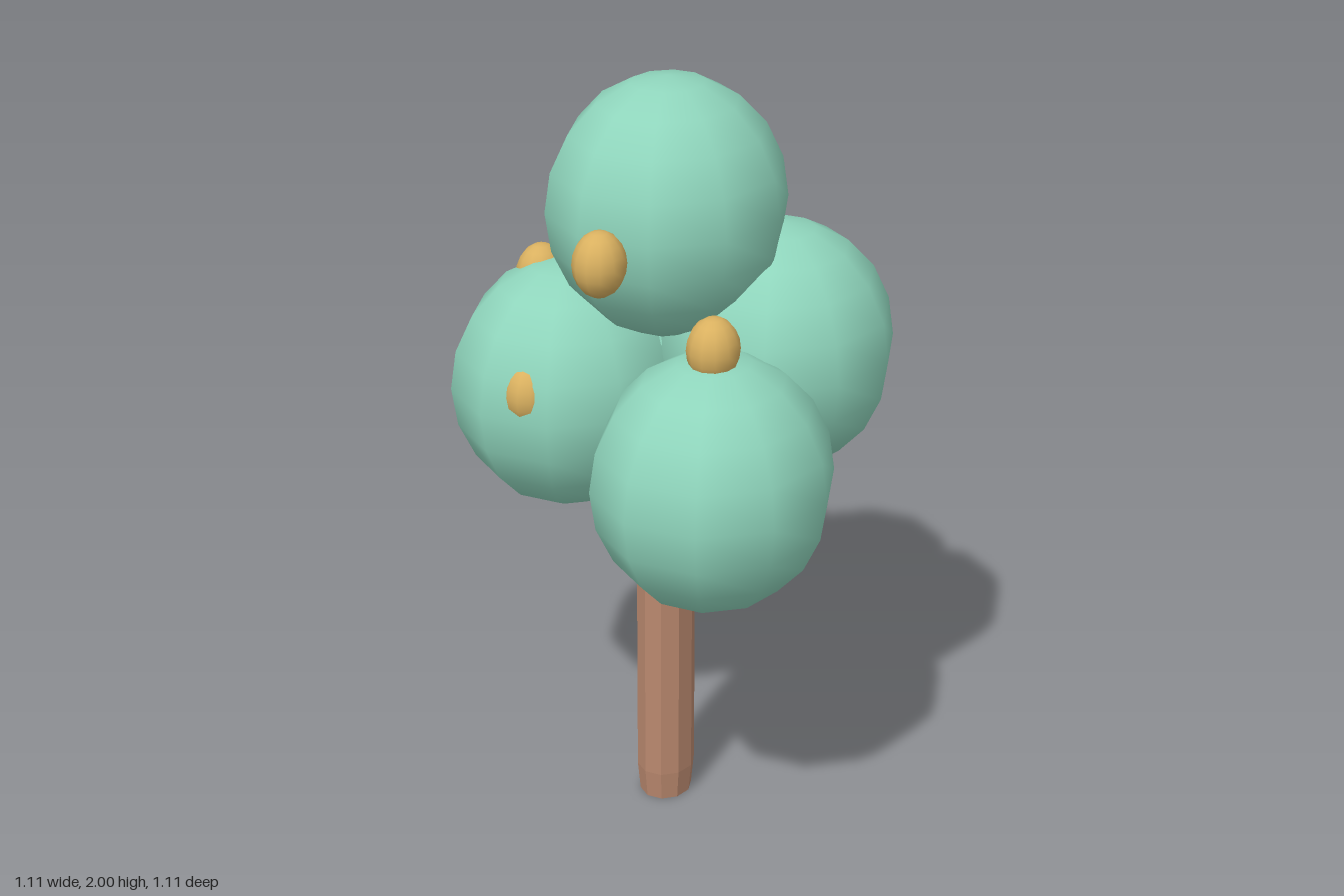
import * as THREE from 'three';

const mat = (name, color) => {
  const m = new THREE.MeshStandardMaterial({ color });
  m.name = name;
  return m;
};

export function createModel() {
  const tree = new THREE.Group();
  tree.name = 'fruitTree';
  const leaf = mat('leafGreen', 0x8fd5bc);
  const bark = mat('barkBrown', 0xb9886e);
  const gold = mat('fruitGold', 0xdab160);

  const add = (name, geometry, material, x, y, z) => {
    const mesh = new THREE.Mesh(geometry, material);
    mesh.name = name;
    mesh.position.set(x, y, z);
    tree.add(mesh);
    return mesh;
  };

  // Ten-sided trunk with a narrowed foot; its top is hidden in the foliage
  const profile = [[0, 0], [0.9, 0], [1, 0.08], [1, 1.25], [0, 1.25]]
    .map(([r, y]) => new THREE.Vector2(r, y));
  const trunk = new THREE.LatheGeometry(profile, 10)
    .rotateY(Math.PI / 2)
    .scale(0.075, 1, 0.085)
    .toNonIndexed();
  trunk.computeVertexNormals();
  add('trunk', trunk, bark, 0.01, 0, 0);

  // Five smooth, ten-sided foliage balls
  const ball = new THREE.SphereGeometry(1, 10, 10).scale(0.3, 0.328, 0.323);
  [
    ['foliageTop', 0.01, 1.672, -0.007],
    ['foliageBackLeft', 0.242, 1.28, -0.168],
    ['foliageBackRight', -0.105, 1.21, -0.248],
    ['foliageRight', -0.256, 1.166, 0.018],
    ['foliageFrontLeft', 0.251, 1.077, 0.248],
  ].forEach(([name, x, y, z]) => add(name, ball, leaf, x, y, z));

  // Small fruits scattered over the foliage
  const fruit = new THREE.SphereGeometry(1, 12, 10).scale(0.065, 0.082, 0.07);
  [
    [0.01, 1.645, 0.372],
    [0.255, 1.43, 0.261],
    [-0.346, 1.43, -0.01],
    [-0.236, 1.645, -0.277],
    [-0.24, 1.225, 0.263],
  ].forEach(([x, y, z], i) => add(`fruit${i + 1}`, fruit, gold, x, y, z));

  return tree;
}
